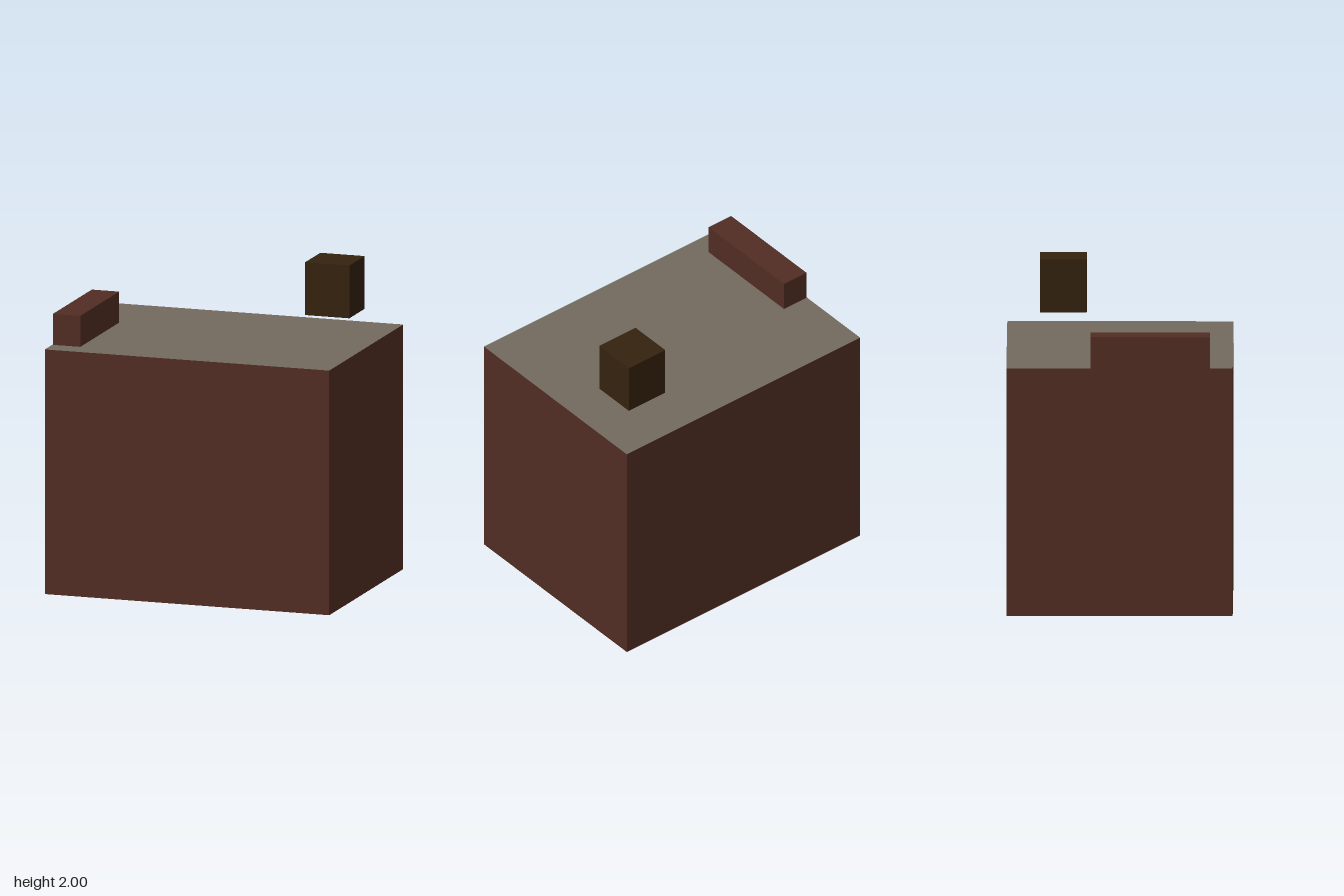
import * as THREE from 'three';

const wallMat = new THREE.MeshStandardMaterial({ color: 0x522d23, side: THREE.DoubleSide });
wallMat.name = 'brick brown';
const roofMat = new THREE.MeshStandardMaterial({ color: 0x736a5e, side: THREE.DoubleSide });
roofMat.name = 'roof grey';
const stackMat = new THREE.MeshStandardMaterial({ color: 0x35220f, side: THREE.DoubleSide });
stackMat.name = 'dark brown';

// Box shell with an open underside, given by its limits; the top has its own material
function shell(name, [x0, x1], [y0, y1], [z0, z1], sideMat, topMat = sideMat) {
  const geo = new THREE.BoxGeometry(x1 - x0, y1 - y0, z1 - z0);
  const index = Array.from(geo.index.array);
  // face order is +x, -x, +y, -y, +z, -z with six indices each: drop -y
  index.splice(18, 6);
  geo.setIndex(index);
  geo.clearGroups();
  geo.addGroup(0, 12, 0);
  geo.addGroup(12, 6, 1);
  geo.addGroup(18, 12, 0);
  geo.translate((x0 + x1) / 2, (y0 + y1) / 2, (z0 + z1) / 2);
  const mesh = new THREE.Mesh(geo, [sideMat, topMat]);
  mesh.name = name;
  return mesh;
}

export function createModel() {
  const model = new THREE.Group();
  model.name = 'flatRoofBuilding';

  // Main block with a flat roof
  model.add(shell('building', [-0.925, 0.925], [0, 1.54], [-0.696, 0.696], wallMat, roofMat));

  // Long low block on the right edge of the roof
  model.add(shell('roofParapet', [-0.921, -0.743], [1.54, 1.735], [-0.178, 0.555], wallMat));

  // Raised box above the back left of the roof
  model.add(shell('roofBox', [0.456, 0.744], [1.668, 2], [-0.494, -0.206], stackMat));

  return model;
}
